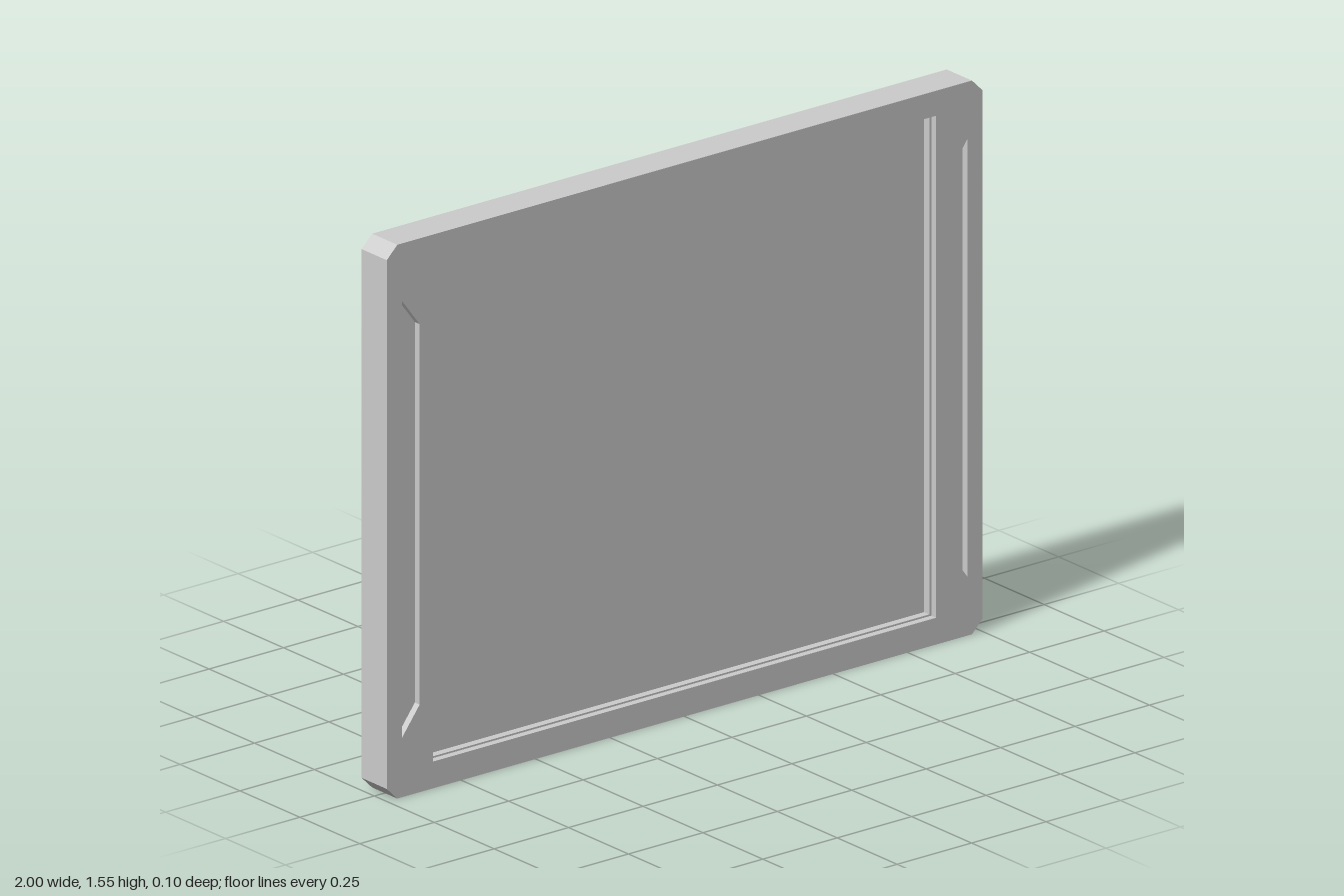
import * as THREE from 'three';

const HEIGHT = 1.55, FRONT = 0.0525, BACK = -0.0525;
const material = new THREE.MeshStandardMaterial({ color: 0xcccccc, flatShading: true });

const points = (list) => list.map(([x, y]) => new THREE.Vector2(x, y));
const rectangle = (x, y0, y1) => points([[-x, y0], [x, y0], [x, y1], [-x, y1]]);

// Flat sheet at depth z, with optional openings
function sheet(name, outline, z, holes = [], faceBack = false) {
  const shape = new THREE.Shape(outline);
  holes.forEach((h) => shape.holes.push(new THREE.Path(h)));
  const geometry = new THREE.ShapeGeometry(shape);
  if (faceBack) geometry.rotateY(Math.PI);
  geometry.translate(0, 0, z);
  const mesh = new THREE.Mesh(geometry, material);
  mesh.name = name;
  return mesh;
}

// Band of walls along a closed outline; counter-clockwise faces out, clockwise faces in
function walls(name, outline, z0, z1) {
  const positions = [];
  outline.forEach((a, i) => {
    const b = outline[(i + 1) % outline.length];
    positions.push(a.x, a.y, z0, b.x, b.y, z0, b.x, b.y, z1);
    positions.push(a.x, a.y, z0, b.x, b.y, z1, a.x, a.y, z1);
  });
  const geometry = new THREE.BufferGeometry();
  geometry.setAttribute('position', new THREE.Float32BufferAttribute(positions, 3));
  geometry.computeVertexNormals();
  const mesh = new THREE.Mesh(geometry, material);
  mesh.name = name;
  return mesh;
}

const reversed = (outline) => [...outline].reverse();

export function createModel() {
  const model = new THREE.Group();
  model.name = 'flatPanel';

  // Outlines: chamfered body, stepped screen opening, tapered side slots
  const c = 0.035, h = HEIGHT;
  const body = points([
    [-1 + c, 0], [1 - c, 0], [1, c], [1, h - c],
    [1 - c, h], [-1 + c, h], [-1, h - c], [-1, c],
  ]);
  const opening = rectangle(0.845, 0.075, 1.48);
  const screen = rectangle(0.838, 0.08, 1.475);
  const leftSlot = points([[0.89, 0.245], [0.95, 0.165], [0.95, 1.39], [0.89, 1.31]]);
  const rightSlot = reversed(leftSlot.map((p) => new THREE.Vector2(-p.x, p.y)));

  // Casing
  model.add(
    sheet('frontFrame', body, FRONT, [opening, leftSlot, rightSlot]),
    sheet('backPanel', body, BACK, [], true),
    walls('casingSides', body, BACK, FRONT),
  );

  // Screen recess with a narrow ledge
  const ledge = FRONT - 0.02, floor = FRONT - 0.042;
  model.add(
    walls('openingWalls', reversed(opening), ledge, FRONT),
    sheet('screenLedge', opening, ledge, [screen]),
    walls('screenWalls', reversed(screen), floor, ledge),
    sheet('screen', screen, floor),
  );

  // Side slots
  for (const [name, slot] of [['leftSlot', leftSlot], ['rightSlot', rightSlot]]) {
    const group = new THREE.Group();
    group.name = name;
    group.add(
      walls(name + 'Walls', reversed(slot), FRONT - 0.02, FRONT),
      sheet(name + 'Floor', slot, FRONT - 0.02),
    );
    model.add(group);
  }
  return model;
}
